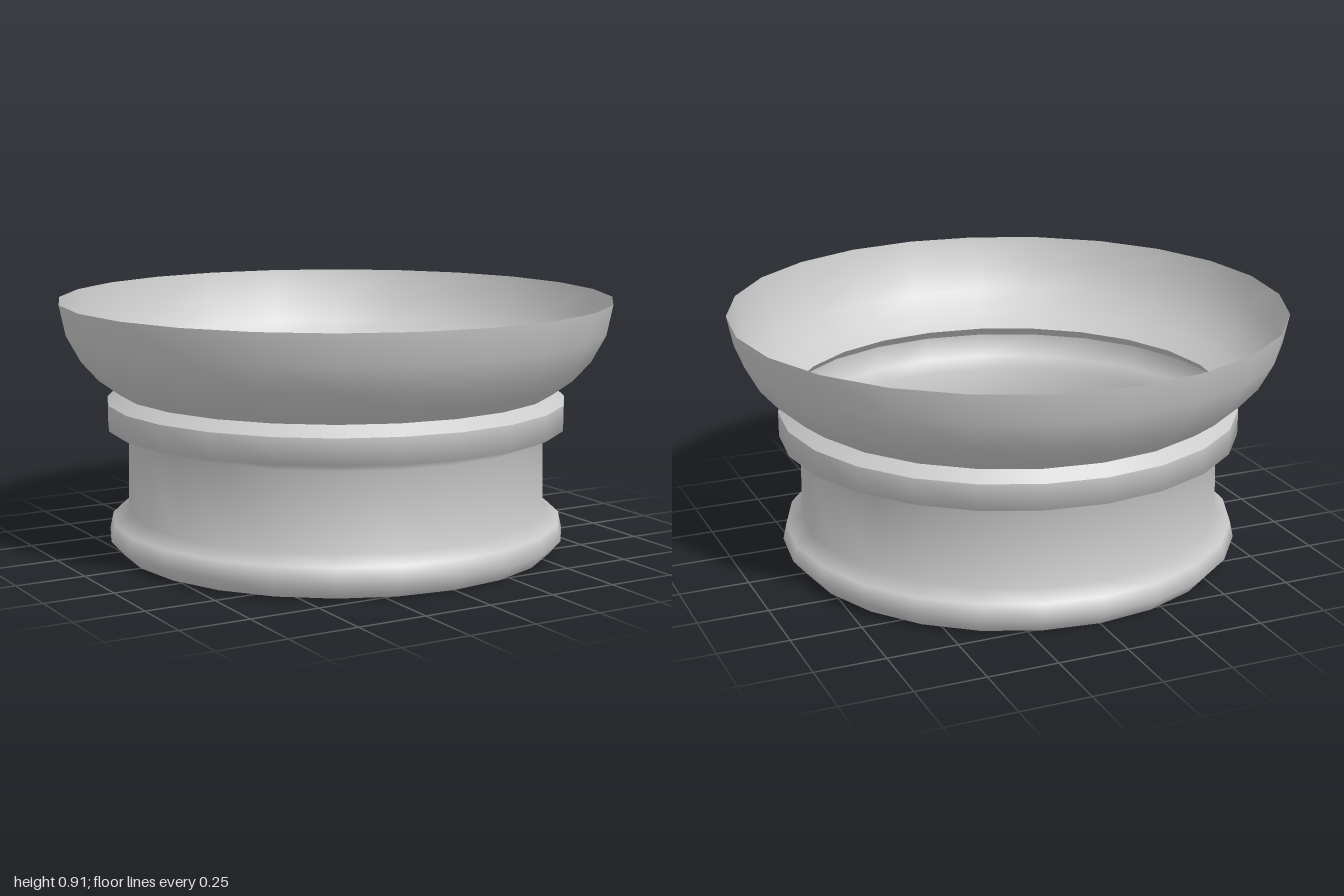
import * as THREE from 'three';

const SIDES = 24;

export function createModel() {
  const group = new THREE.Group();
  const material = new THREE.MeshStandardMaterial({ color: 0xcccccc, side: THREE.DoubleSide });

  // Thin open shell turned from a [radius, height] profile, listed bottom to top
  function addRing(name, profile) {
    const points = profile.map(([r, y]) => new THREE.Vector2(r, y));
    const mesh = new THREE.Mesh(new THREE.LatheGeometry(points, SIDES), material);
    mesh.name = name;
    group.add(mesh);
  }

  // Flared foot, narrow waist and raised upper band, shaded smoothly
  addRing('collar', [
    [0.788, 0], [0.833, 0.052], [0.82, 0.112], [0.762, 0.145],
    [0.757, 0.42], [0.833, 0.453], [0.833, 0.545],
  ]);

  // Bevel between the band and the bowl, with sharp edges
  addRing('collarBevel', [[0.833, 0.545], [0.792, 0.582]]);

  // Wide open bowl
  addRing('bowl', [
    [0.792, 0.582], [0.865, 0.635], [0.927, 0.705], [0.978, 0.8], [1, 0.908],
  ]);

  return group;
}
